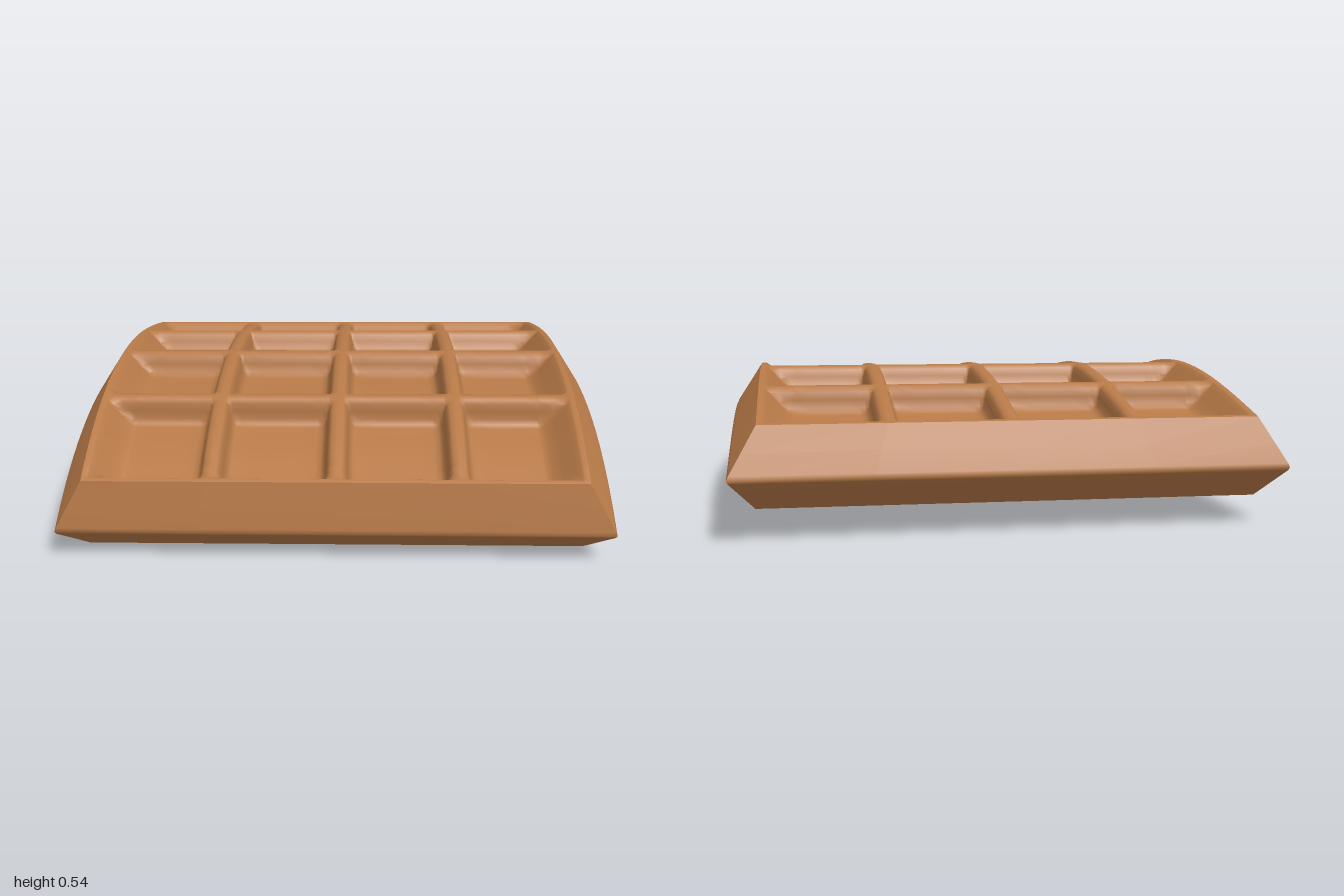
import * as THREE from 'three';

// Arched profiles: crown height, then square and cubic fall-off to the front (+z) and back
const arch = (crown, a, b, c, d) => (z) =>
  z > 0 ? crown - a * z * z - b * z ** 3 : crown - c * z * z + d * z ** 3;
const topY = arch(0.52, 0.194, 0.091, 0.229, -0.08);
const midY = arch(0.36, 0.24, 0.058, 0.25, -0.097);
const lowY = arch(0.215, 0.336, 0.02, 0.297, -0.153);

// Three outlines of the slab: upper rim, widest edge, underside
const rims = [
  { x: 0.9, z0: -0.865, z1: 0.908, y: topY },
  { x: 1.004, z0: -0.938, z1: 0.936, y: midY },
  { x: 0.91, z0: -0.82, z1: 0.79, y: lowY },
];
const DEPTH = 0.1;

const range = (n) => Array.from({ length: n + 1 }, (_, i) => i / n);
const mix = THREE.MathUtils.lerp;

// Slight hand-made skew of the whole slab
const skew = (p) => new THREE.Vector3(p.x, p.y + 0.006 * p.x + 0.003, p.z * (1 + 0.006 * p.x));

// Point on one outline, s and t running 0..1 across x and z
function onRim(r, s, t) {
  const z = mix(r.z0, r.z1, t);
  return new THREE.Vector3(mix(-r.x, r.x, s), r.y(z), z);
}

// Grid surface; each cell is split along its flatter diagonal
function sheet(name, nu, nv, flip, material, point, level = () => 0) {
  const pos = [], index = [];
  for (let j = 0; j < nv; j++)
    for (let i = 0; i < nu; i++) pos.push(...skew(point(i, j)).toArray());
  const tri = (a, b, c) => index.push(...(flip ? [a, c, b] : [a, b, c]));
  for (let j = 0; j < nv - 1; j++)
    for (let i = 0; i < nu - 1; i++) {
      const a = j * nu + i, b = a + 1, c = a + nu, d = c + 1;
      const ad = Math.abs(level(i, j) - level(i + 1, j + 1));
      const bc = Math.abs(level(i + 1, j) - level(i, j + 1));
      if (ad <= bc) { tri(a, b, d); tri(a, d, c); } else { tri(a, b, c); tri(b, d, c); }
    }
  const geo = new THREE.BufferGeometry();
  geo.setAttribute('position', new THREE.Float32BufferAttribute(pos, 3));
  geo.setIndex(index);
  geo.computeVertexNormals();
  const mesh = new THREE.Mesh(geo, material);
  mesh.name = name;
  return mesh;
}

// Pocket depth along one axis: list of [position, depth 0..1]
function pocketProfile(start, end, slopeStart, slopeEnd, ribs) {
  const slope = [[0, 0], [0.06, 0.05], [0.2, 0.2], [0.5, 0.6], [0.75, 0.88], [0.9, 0.97], [1, 1]];
  const rib = [[0, 0.05], [0.02, 0.08], [0.032, 0.22], [0.039, 0.5], [0.046, 0.8], [0.06, 0.95], [0.08, 1]];
  const pts = [];
  for (const [t, d] of slope)
    pts.push([start + t * slopeStart, d], [end - t * slopeEnd, d]);
  for (const r of ribs)
    for (const [o, d] of rib) {
      pts.push([r + o, d]);
      if (o > 0) pts.push([r - o, d]);
    }
  // Extra floor rows follow the arch
  const stops = [start + slopeStart, ...ribs.flatMap((r) => [r - 0.08, r + 0.08]), end - slopeEnd];
  for (let k = 0; k < stops.length; k += 2)
    for (const t of [0.2, 0.4, 0.6, 0.8]) pts.push([mix(stops[k], stops[k + 1], t), 1]);
  return pts.sort((a, b) => a[0] - b[0]);
}

export function createModel() {
  const group = new THREE.Group();
  group.name = 'waffleSlab';
  const material = new THREE.MeshStandardMaterial({ color: 0xb87a48 });

  // Pocketed top with its ribs
  const [rim, , low] = rims;
  const xs = [[-rim.x, 0], ...pocketProfile(-0.882, 0.882, 0.12, 0.12, [-0.445, 0.005, 0.445]), [rim.x, 0]];
  const zs = [[rim.z0, 0], ...pocketProfile(-0.848, 0.895, 0.1, 0.06, [-0.42, 0.028, 0.465]), [rim.z1, 0]];
  const level = (i, j) => Math.min(xs[i][1], zs[j][1]);
  group.add(sheet('pocketedTop', xs.length, zs.length, true, material, (i, j) => {
    const z = zs[j][0], e = 0.001;
    const slope = (topY(z + e) - topY(z - e)) / (2 * e);
    const normal = new THREE.Vector3(0, 1, -slope).normalize();
    return new THREE.Vector3(xs[i][0], topY(z), z).addScaledVector(normal, -DEPTH * level(i, j));
  }, level));

  // Arched underside
  const N = 40;
  const steps = range(N);
  group.add(sheet('underside', 2, N + 1, false, material, (i, j) => onRim(low, i, steps[j])));

  // Bevelled walls, softly rounded at the widest edge
  const blend = [[1, 0, 0], [0.5, 0.5, 0], [0.09, 0.91, 0], [0.015, 0.97, 0.015], [0, 0.91, 0.09], [0, 0.5, 0.5], [0, 0, 1]];
  const wall = (name, flip, n, at) => group.add(
    sheet(name, n + 1, blend.length, flip, material, (i, j) => {
      const p = new THREE.Vector3();
      rims.forEach((r, k) => p.addScaledVector(at(r, i / n), blend[j][k]));
      return p;
    }));
  wall('frontWall', true, 4, (r, s) => onRim(r, s, 1));
  wall('backWall', false, 4, (r, s) => onRim(r, s, 0));
  wall('leftWall', false, N, (r, t) => onRim(r, 1, t));
  wall('rightWall', true, N, (r, t) => onRim(r, 0, t));
  return group;
}
